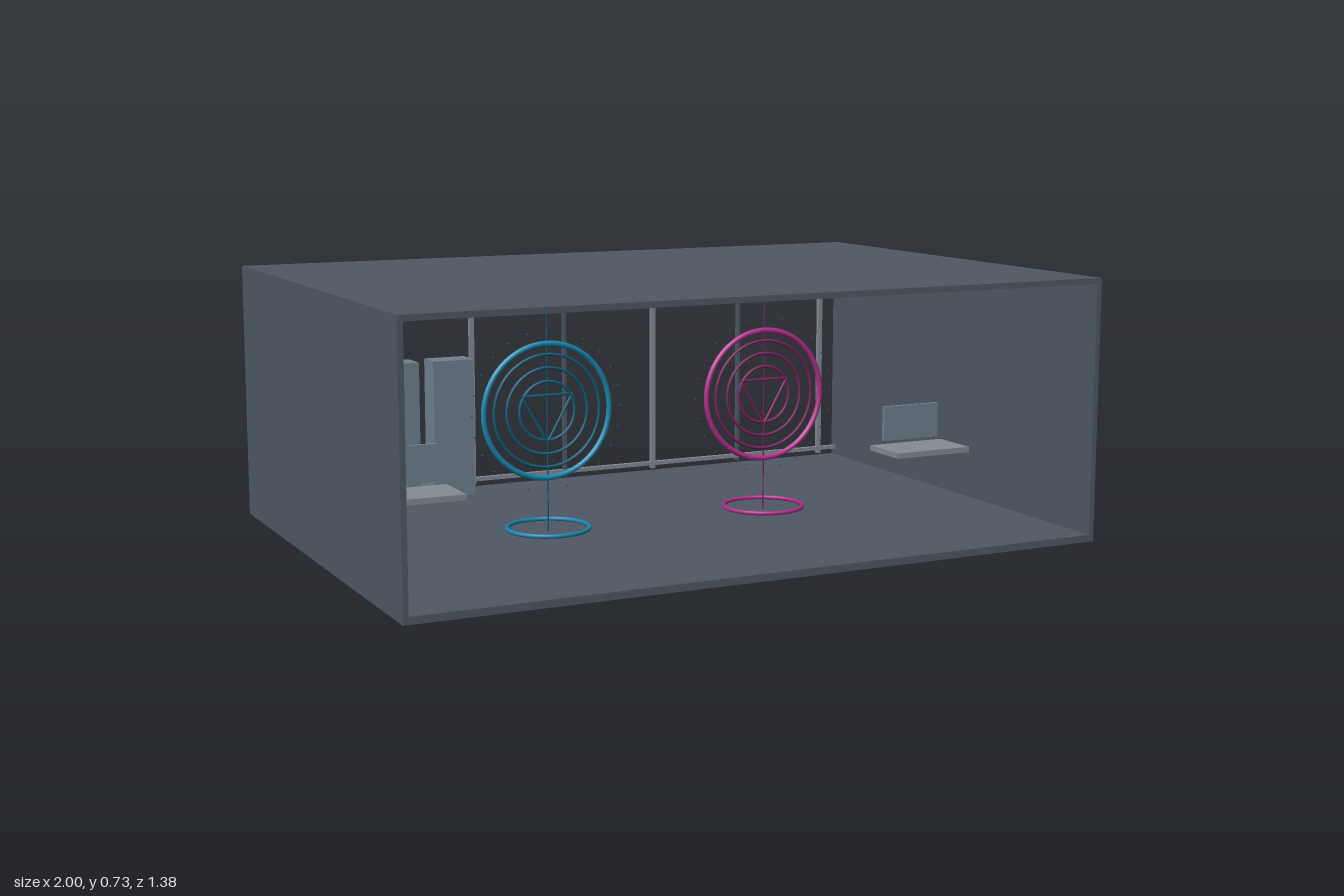
import * as THREE from 'three';

const mat = (name, color) => {
  const m = new THREE.MeshStandardMaterial({ color });
  m.name = name;
  return m;
};

export function createModel() {
  const shell = mat('slate shell', 0x4f5964);
  const furniture = mat('grey furniture', 0x708090);
  const metal = mat('light metal', 0x858c94);
  const blue = mat('blue ring', 0x1a86b0);
  const darkBlue = mat('dark blue', 0x125f78);
  const pink = mat('magenta ring', 0xb0308c);
  const darkPink = mat('dark magenta', 0x7a2560);

  const model = new THREE.Group();
  model.name = 'exhibitionRoom';

  const add = (parent, name, geometry, material, x = 0, y = 0, z = 0) => {
    const m = new THREE.Mesh(geometry, material);
    m.name = name;
    m.position.set(x, y, z);
    parent.add(m);
    return m;
  };
  // Box given by its extents on each axis
  const box = (parent, name, material, x0, x1, y0, y1, z0, z1) =>
    add(parent, name, new THREE.BoxGeometry(x1 - x0, y1 - y0, z1 - z0), material,
      (x0 + x1) / 2, (y0 + y1) / 2, (z0 + z1) / 2);

  // Shell, open at front and back
  box(model, 'floor', shell, -1, 1, 0, 0.02, -0.69, 0.69);
  box(model, 'ceiling', shell, -1, 1, 0.714, 0.73, -0.69, 0.69);
  for (const s of [-1, 1]) {
    const x = s * 0.9925;
    box(model, 'sideWall', shell, x - 0.0075, x + 0.0075, 0.02, 0.714, -0.69, 0.69);
  }

  // Rear window frame: two rails and seven posts
  for (const y of [0.046, 0.693])
    box(model, 'rearRail', metal, -0.985, 0.985, y - 0.006, y + 0.006, -0.677, -0.663);
  for (let i = -3; i <= 3; i++) {
    const light = i % 2 !== 0;
    const w = light ? 0.007 : 0.005;
    const x = i * 0.3067;
    box(model, 'rearPost', light ? metal : shell, x - w, x + w, 0.03, 0.708, -0.677, -0.663);
  }

  // Cabinets along the rear
  for (const x of [-0.785, -0.617, -0.45])
    box(model, 'cabinet', furniture, x - 0.0615, x + 0.0615, 0.05, 0.452, -0.52, -0.44);

  // Floating desks with screens
  for (const s of [-1, 1]) {
    const desk = new THREE.Group();
    desk.name = 'desk';
    desk.position.x = s * 0.785;
    box(desk, 'deskTop', metal, -0.123, 0.123, 0.18, 0.196, 0.07, 0.22);
    box(desk, 'screen', furniture, -0.093, 0.093, 0.21, 0.312, 0.085, 0.097);
    model.add(desk);
  }

  // Ring portals
  const portal = (x, bright, dark) => {
    const g = new THREE.Group();
    g.name = 'ringPortal';
    g.position.x = x;
    model.add(g);
    const cy = 0.36;

    // Concentric upright rings
    add(g, 'outerRing', new THREE.TorusGeometry(0.187, 0.008, 8, 64), bright, 0, cy);
    for (const r of [0.157, 0.12, 0.082])
      add(g, 'innerRing', new THREE.TorusGeometry(r, 0.0045, 6, 56), dark, 0, cy);

    // Downward triangle
    const corners = [0, 1, 2].map(i => {
      const a = -Math.PI / 2 + (i * Math.PI * 2) / 3;
      return new THREE.Vector3(0.088 * Math.cos(a), cy + 0.088 * Math.sin(a), 0);
    });
    corners.forEach((a, i) => {
      const b = corners[(i + 1) % 3];
      const bar = add(g, 'triangleBar', new THREE.CylinderGeometry(0.004, 0.004, a.distanceTo(b), 6), dark);
      bar.position.copy(a).lerp(b, 0.5);
      bar.quaternion.setFromUnitVectors(new THREE.Vector3(0, 1, 0), b.clone().sub(a).normalize());
    });

    // Small beads around the outer ring
    const bead = new THREE.SphereGeometry(0.003, 6, 4);
    for (let i = 0; i < 24; i++) {
      const a = (i * Math.PI) / 12;
      add(g, 'bead', bead, dark, 0.222 * Math.cos(a), cy + 0.222 * Math.sin(a));
    }

    // Floor and ceiling rings joined by a thin beam
    for (const y of [0.032, 0.7]) {
      const ring = add(g, 'flatRing', new THREE.TorusGeometry(0.115, 0.006, 8, 48), bright, 0, y);
      ring.rotation.x = Math.PI / 2;
    }
    add(g, 'beam', new THREE.CylinderGeometry(0.002, 0.002, 0.69, 6), dark, 0, 0.366);
  };
  portal(-0.34, blue, darkBlue);
  portal(0.34, pink, darkPink);

  return model;
}
